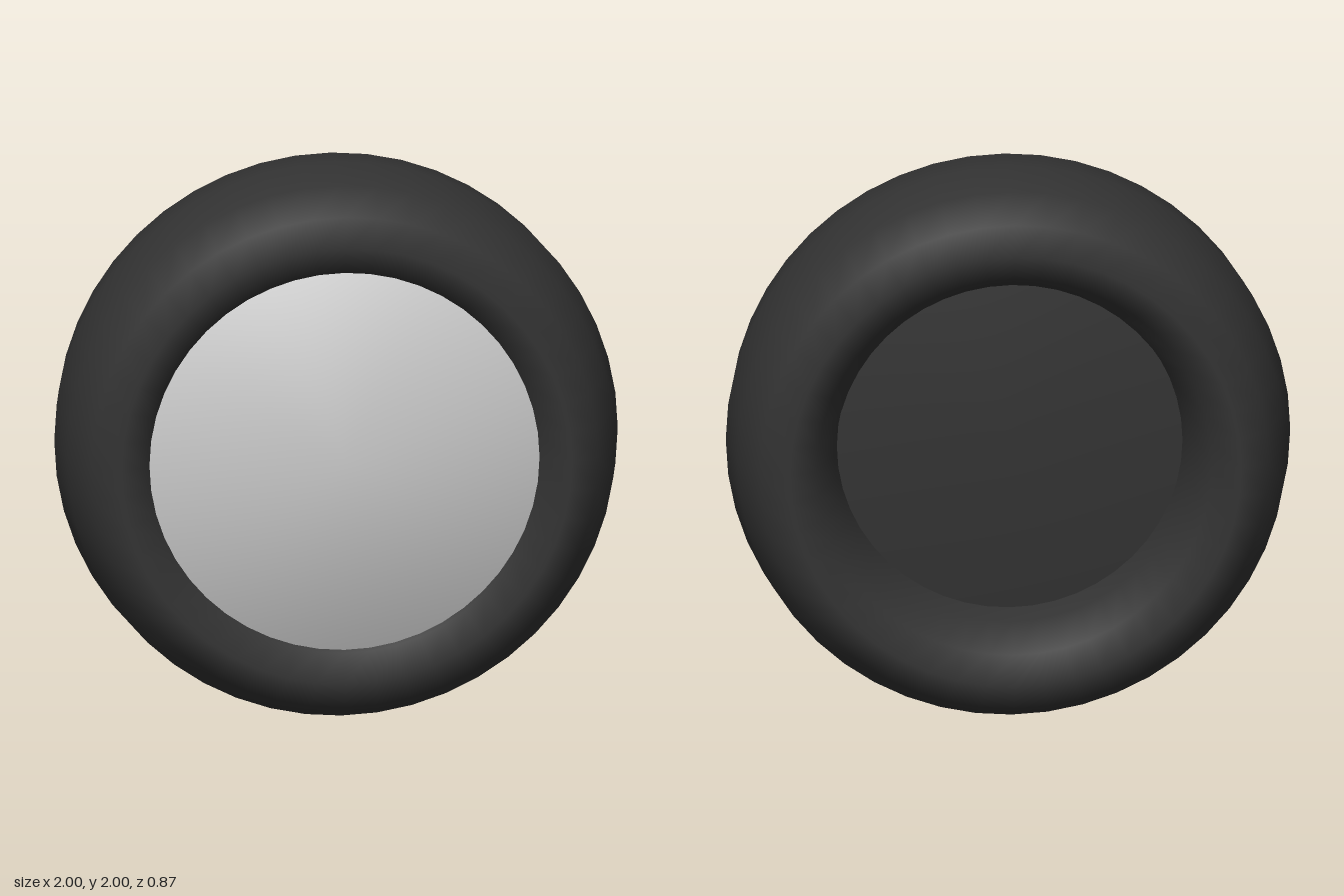
import * as THREE from 'three';

const SEGMENTS = 48;

// Surface of revolution about the z axis; profile points are [radius, z] from back to front
function turned(name, profile, material) {
  const points = profile.map(([r, z]) => new THREE.Vector2(r, z));
  const geometry = new THREE.LatheGeometry(points, SEGMENTS).rotateX(Math.PI / 2);
  const mesh = new THREE.Mesh(geometry, material);
  mesh.name = name;
  return mesh;
}

export function createModel() {
  const rubber = new THREE.MeshStandardMaterial({ color: 0x333333 });
  const metal = new THREE.MeshStandardMaterial({ color: 0xcccccc });

  const wheel = new THREE.Group();
  wheel.name = 'wheel';

  // Tyre: a ring with a twelve-sided section, stretched across its width
  const ring = new THREE.TorusGeometry(0.8, 0.2, 12, SEGMENTS).scale(1, 1, 2.175);
  const tyre = new THREE.Mesh(ring, rubber);
  tyre.name = 'tyre';
  wheel.add(tyre);

  // Hub: a drum whose rim is buried in the tyre, softly shaded across its faces
  const rim = 0.78;
  wheel.add(turned('hubCap', [[rim, 0], [rim, 0.36], [0, 0.36]], metal));
  wheel.add(turned('hubBack', [[0, -0.1], [rim, -0.1], [rim, 0]], rubber));

  wheel.position.y = 1;
  const model = new THREE.Group();
  model.add(wheel);
  return model;
}
